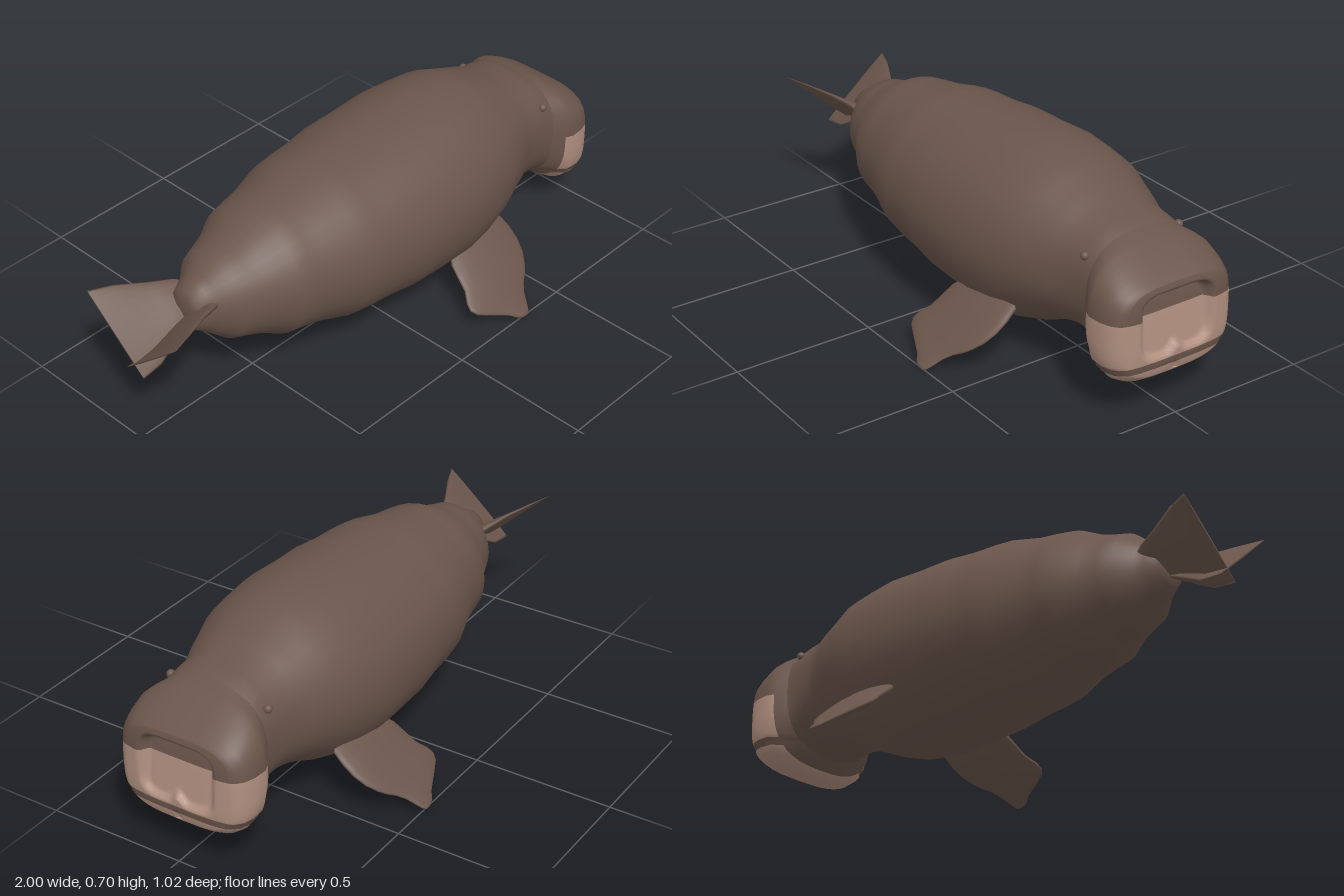
import * as THREE from 'three';

const V3 = (x, y, z) => new THREE.Vector3(x, y, z);
const mat = (name, color) => {
  const m = new THREE.MeshStandardMaterial({ color });
  m.name = name;
  return m;
};

// Geometry from points and two triangle lists, one per material
function build({ points, lists }) {
  const geo = new THREE.BufferGeometry().setFromPoints(points);
  geo.setIndex(lists.flat());
  let start = 0;
  lists.forEach((list, i) => {
    geo.addGroup(start, list.length, i);
    start += list.length;
  });
  geo.computeVertexNormals();
  return geo;
}

// Superellipse ring; u x v points along the loft direction
function ring(c, u, v, sides = 28, n = 2) {
  const pow = (t) => Math.sign(t) * Math.abs(t) ** (2 / n);
  return Array.from({ length: sides }, (_, i) => {
    const a = (i / sides) * Math.PI * 2;
    return c.clone().addScaledVector(u, pow(Math.cos(a))).addScaledVector(v, pow(Math.sin(a)));
  });
}

// Skin over closed rings; colourOf picks the material of each quad
function skin(rings, colourOf) {
  const n = rings[0].length, points = rings.flat(), lists = [[], []];
  for (let i = 0; i < rings.length - 1; i++) {
    for (let j = 0; j < n; j++) {
      const k = (j + 1) % n, a = i * n + j, b = i * n + k, c = a + n, d = b + n;
      lists[colourOf(points[a], points[d])].push(a, b, c, b, d, c);
    }
  }
  return { points, lists };
}

// Skin of one colour with both ends closed
function loft(rings) {
  const { points, lists } = skin(rings, () => 0), n = rings[0].length;
  [0, rings.length - 1].forEach((r) => {
    const centre = V3(0, 0, 0);
    rings[r].forEach((p) => centre.addScaledVector(p, 1 / n));
    const m = points.push(centre) - 1;
    for (let j = 0; j < n; j++) {
      const a = r * n + j, b = r * n + ((j + 1) % n);
      lists[0].push(...(r === 0 ? [m, b, a] : [m, a, b]));
    }
  });
  return build({ points, lists: [lists[0]] });
}

// Heights of the muzzle rows, with fixed rows on the colour borders
function rowHeights(top, bottom) {
  const ys = [];
  for (let i = 0; i < 16; i++) ys.push(0.36 + (top - 0.36) * Math.cos((i / 16) * Math.PI / 2));
  for (let i = 0; i <= 16; i++) ys.push(0.36 - (0.155 * i) / 16);
  ys.push(0.192);
  for (let i = 0; i <= 6; i++) ys.push(0.18 - (0.18 - bottom) * Math.sin((i / 6) * Math.PI / 2));
  return ys;
}

// Half width of the muzzle at a height, slightly pinched at the mouth line
function muzzleWidth([, top, bottom, w, n], y) {
  const v = Math.min(1, Math.abs((y - (top + bottom) / 2) / ((top - bottom) / 2)));
  return w * (1 - v ** n) ** (1 / n) * (y === 0.192 ? 0.975 : 1);
}

const isPink = (a, b) => {
  const y = (a.y + b.y) / 2;
  return Math.min(a.x, b.x) > 0.835 && ((y > 0.205 && y < 0.36) || y < 0.18) ? 1 : 0;
};

// Depth of the muzzle front: a rounded face, a sunken pad with a notch, and a cleft lip
function faceX(u, y, z) {
  const v = (y - 0.304) / 0.154;
  const bulge = 0.015 * (1 - u ** 4) * Math.max(0, 1 - v ** 4);
  const notch = y < 0.3 ? 0.03 * Math.exp(-((z / 0.022) ** 2)) : 0;
  const m = (Math.abs(z / 0.146) ** 5 + Math.abs((y - notch - 0.322) / 0.115) ** 5) ** 0.2;
  const dip = (1 - THREE.MathUtils.smoothstep(m, 0.82, 1.0)) * (0.018 + 0.028 * (y - 0.21) / 0.23);
  const cleft = y < 0.18 ? 0.008 * Math.exp(-((z / 0.008) ** 2)) : 0;
  return 0.985 + bulge - dip - cleft;
}

// Muzzle: skinned sides, with a grid over the front that shares the last ring
function muzzleGeometry() {
  const sections = [
    [0.8, 0.566, 0.17, 0.209, 2.6], [0.84, 0.552, 0.135, 0.238, 2.8], [0.87, 0.538, 0.115, 0.25, 3],
    [0.92, 0.508, 0.113, 0.247, 3.2], [0.955, 0.484, 0.126, 0.236, 3.4], [0.975, 0.468, 0.14, 0.22, 3.5],
    [0.985, 0.458, 0.15, 0.205, 3.6],
  ];
  const { points, lists } = skin(sections.map((s) => {
    const half = rowHeights(s[1], s[2]).map((y) => V3(s[0], y, muzzleWidth(s, y)));
    half[0].z = half[half.length - 1].z = 0;
    return [...half, ...half.slice(1, -1).reverse().map((p) => V3(p.x, p.y, -p.z))];
  }, isPink), isPink);

  const last = sections[sections.length - 1], cols = 44;
  const ys = rowHeights(last[1], last[2]), rows = ys.length;
  const base = points.length - (2 * rows - 2);
  const grid = ys.map((y, i) => Array.from({ length: cols + 1 }, (_, j) => {
    if (i === 0 || i === rows - 1 || j === cols) return base + i;
    if (j === 0) return base + 2 * rows - 2 - i;
    const u = (j / cols) * 2 - 1, z = u * muzzleWidth(last, y);
    return points.push(V3(faceX(u, y, z), y, z)) - 1;
  }));
  for (let i = 0; i < rows - 1; i++) {
    for (let j = 0; j < cols; j++) {
      const a = grid[i][j], b = grid[i][j + 1], c = grid[i + 1][j], d = grid[i + 1][j + 1];
      lists[isPink(points[a], points[d])].push(a, b, c, b, d, c);
    }
  }
  return build({ points, lists });
}

export function createModel() {
  const hide = mat('brown hide', 0x6a554b);
  const pink = mat('pale muzzle', 0xb08f7f);
  const group = new THREE.Group();
  const add = (name, geo, material) => {
    const mesh = new THREE.Mesh(geo, material);
    mesh.name = name;
    group.add(mesh);
    return mesh;
  };

  // Body: x, top, bottom, half width, squareness
  const body = [
    [-0.785, 0.44, 0.36, 0.04, 2], [-0.775, 0.475, 0.325, 0.068, 2], [-0.74, 0.495, 0.3, 0.085, 2],
    [-0.71, 0.505, 0.275, 0.105, 2], [-0.66, 0.548, 0.232, 0.152, 2], [-0.61, 0.56, 0.217, 0.172, 2],
    [-0.55, 0.58, 0.195, 0.195, 2], [-0.48, 0.617, 0.156, 0.238, 2], [-0.42, 0.628, 0.147, 0.25, 2],
    [-0.35, 0.637, 0.133, 0.265, 2], [-0.24, 0.664, 0.097, 0.303, 2], [-0.17, 0.671, 0.088, 0.312, 2],
    [-0.08, 0.675, 0.082, 0.32, 2], [0.02, 0.686, 0.068, 0.335, 2], [0.14, 0.69, 0.061, 0.336, 2],
    [0.27, 0.701, 0.053, 0.336, 2], [0.38, 0.696, 0.066, 0.32, 2], [0.47, 0.687, 0.098, 0.303, 2],
    [0.54, 0.662, 0.132, 0.275, 2], [0.6, 0.636, 0.158, 0.252, 2.1], [0.64, 0.622, 0.168, 0.232, 2.2],
    [0.69, 0.597, 0.178, 0.215, 2.3], [0.75, 0.588, 0.178, 0.211, 2.4], [0.8, 0.568, 0.173, 0.21, 2.6],
    [0.835, 0.545, 0.145, 0.22, 2.7],
  ];
  add('body', loft(body.map(([x, t, b, w, n]) =>
    ring(V3(x, (t + b) / 2, 0), V3(0, (t - b) / 2, 0), V3(0, 0, w), 36, n))), hide);
  add('muzzle', muzzleGeometry(), [hide, pink]);

  // Flipper: fraction along its length, rear x, front x, half thickness
  const flipper = [
    [-0.06, 0.27, 0.46, 0.012], [0, 0.215, 0.485, 0.024], [0.15, 0.185, 0.492, 0.026],
    [0.3, 0.176, 0.49, 0.023], [0.44, 0.168, 0.477, 0.02], [0.56, 0.145, 0.453, 0.018],
    [0.64, 0.14, 0.43, 0.016], [0.71, 0.155, 0.402, 0.014], [0.8, 0.205, 0.378, 0.012],
    [0.9, 0.265, 0.362, 0.009], [0.97, 0.29, 0.35, 0.007], [1, 0.315, 0.34, 0.003],
  ];
  // Fluke: x, inner z, inner y, outer z, outer y, half thickness
  const fluke = [
    [-1, -0.04, 0.276, 0.208, 0.492, 0.004], [-0.92, -0.036, 0.283, 0.178, 0.485, 0.009],
    [-0.82, -0.02, 0.335, 0.13, 0.465, 0.014], [-0.74, 0, 0.375, 0.1, 0.448, 0.018],
    [-0.7, 0.02, 0.395, 0.08, 0.43, 0.014],
  ];
  for (const s of [1, -1]) {
    const side = s > 0 ? 'Left' : 'Right';
    const along = V3(0, -0.207, s * 0.263);
    const normal = along.clone().normalize().cross(V3(1, 0, 0));
    add('flipper' + side, loft(flipper.map(([t, x0, x1, h]) =>
      ring(V3((x0 + x1) / 2, 0.207, s * 0.243).addScaledVector(along, t),
        V3((x1 - x0) / 2, 0, 0), normal.clone().multiplyScalar(h), 24))), hide);

    add('tailFluke' + side, loft(fluke.map(([x, zi, yi, zo, yo, h]) => {
      const u = V3(0, (yo - yi) / 2, (s * (zo - zi)) / 2);
      const n = V3(1, 0, 0).cross(u).normalize().multiplyScalar(h);
      return ring(V3(x, (yo + yi) / 2, (s * (zo + zi)) / 2), u, n, 20);
    })), hide);

    // Small round eye
    const eye = add('eye' + side, new THREE.SphereGeometry(0.015, 16, 12), hide);
    eye.position.set(0.762, 0.503, s * 0.186);
  }
  return group;
}
